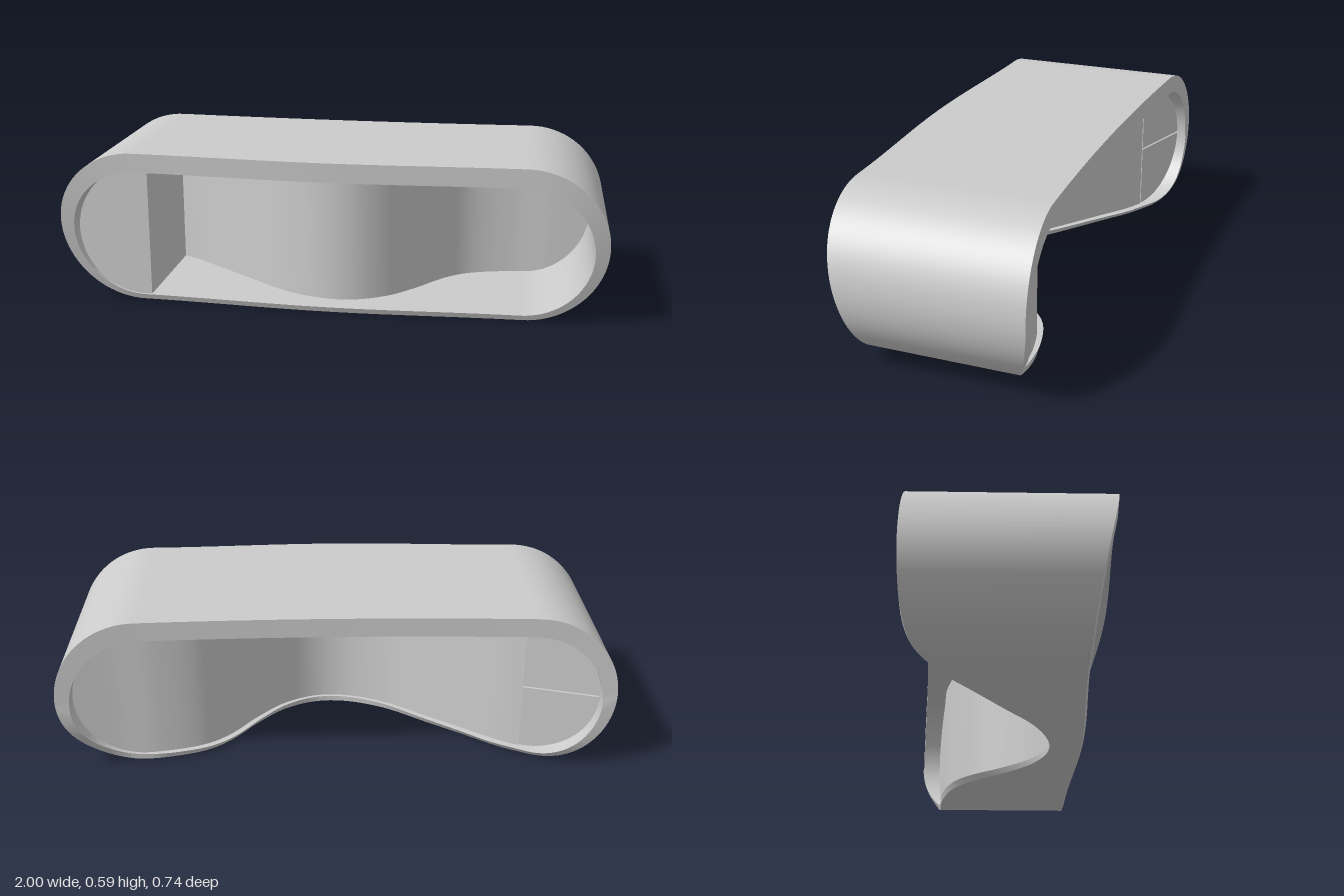
import * as THREE from 'three';

const material = new THREE.MeshStandardMaterial({ color: 0xcccccc, side: THREE.DoubleSide });
const curve = (pts, n) => new THREE.SplineCurve(pts.map(p => new THREE.Vector2(...p))).getPoints(n);

// plan curve (x, z) of the S-shaped inner wall
const wallPoints = [[-0.68, -0.235], [-0.6, -0.19], [-0.5, -0.115], [-0.35, -0.005], [-0.2, 0.105], [-0.05, 0.165],
  [0.08, 0.165], [0.2, 0.105], [0.3, 0], [0.4, -0.13], [0.5, -0.205], [0.65, -0.248]];
const wallLine = curve([...wallPoints, [0.8, -0.262], [0.955, -0.285]], 120);

// plan curve (x, z) of the lower back edge, just behind the inner wall
const lowEdge = curve([[-1, -0.37], [-0.9, -0.355], [-0.8, -0.322], ...wallPoints.map(([x, z]) => [x, z - 0.026]),
  [0.8, -0.285], [0.9, -0.31], [1, -0.37]], 300);

function lowZ(x) {
  const i = lowEdge.findIndex(p => p.x >= x);
  if (i < 1) return -0.37;
  const a = lowEdge[i - 1], b = lowEdge[i];
  return a.y + (b.y - a.y) * (x - a.x) / (b.x - a.x);
}

// front edge leans forward in a slight S and bows out in the middle
function frontZ(x, y) {
  const lean = (y / 0.59 + THREE.MathUtils.smoothstep(y, 0, 0.59)) / 2;
  const bow = Math.sin(Math.min(1, Math.abs(x) / 0.75) * Math.PI / 2) ** 2;
  return 0.265 + 0.105 * lean - 0.028 * bow;
}
// back edge differs above and below mid height
const backZ = (x, y, s) => y < s.cy - 1e-6 ? lowZ(x / (s.cx + s.r)) : -0.33 - 0.04 * x * x;

const OUTER = { cx: 0.705, cy: 0.295, r: 0.295, lip: 0 };
const INNER = { cx: 0.7, cy: 0.27, r: 0.25, lip: 0.006 };

// stadium outline, counter-clockwise seen from the front
function stadium({ cx, cy, r }) {
  const pts = [], flat = 80, arc = 40;
  for (let i = 0; i < flat; i++) pts.push([-cx + 2 * cx * i / flat, cy - r]);
  for (let i = 0; i < arc; i++) {
    const a = -Math.PI / 2 + Math.PI * i / arc;
    pts.push([cx + r * Math.cos(a), cy + r * Math.sin(a)]);
  }
  return pts.concat(pts.map(([x, y]) => [-x, 2 * cy - y]));
}

// smooth band of quads between two rows of points
function strip(a, b, closed) {
  const n = a.length, index = [];
  for (let i = 0; i < (closed ? n : n - 1); i++) {
    const j = (i + 1) % n;
    index.push(i, n + i, n + j, i, n + j, j);
  }
  const g = new THREE.BufferGeometry();
  g.setAttribute('position', new THREE.Float32BufferAttribute([...a, ...b].flat(), 3));
  g.setIndex(index);
  g.computeVertexNormals();
  return g;
}

// end slice of the inner outline from z0 to z1, its back slanting out towards the rim
function endBlock(y0, y1, r, x0, z0, z1) {
  const s = new THREE.Shape(), n = 24;
  s.moveTo(x0, y0);
  s.lineTo(x0, y1);
  for (let i = 0; i <= n; i++) {
    const y = y1 + (y0 - y1) * (1 - Math.cos(Math.PI * i / n)) / 2;
    s.lineTo(-INNER.cx - Math.sqrt(Math.max(0, r * r - (y - INNER.cy) ** 2)), y);
  }
  const g = new THREE.ExtrudeGeometry(s, { depth: z1 - z0, bevelEnabled: false }).translate(0, 0, z0);
  const p = g.attributes.position;
  for (let i = 0; i < p.count; i++) {
    if (p.getZ(i) < 0) p.setZ(i, p.getZ(i) + 0.31 * (p.getX(i) + 0.68));
  }
  g.computeVertexNormals();
  return g;
}

export function createModel() {
  const model = new THREE.Group();
  const add = (name, geometry, parent = model) => {
    const mesh = new THREE.Mesh(geometry, material);
    mesh.name = name;
    parent.add(mesh);
  };

  // stadium shell with front and back rims
  const shell = new THREE.Group();
  shell.name = 'shell';
  model.add(shell);
  const edges = s => {
    const pts = stadium(s);
    return [pts.map(([x, y]) => [x, y, frontZ(x, y) + s.lip]), pts.map(([x, y]) => [x, y, backZ(x, y, s)])];
  };
  const [outFront, outBack] = edges(OUTER), [inFront, inBack] = edges(INNER);
  add('outerSkin', strip(outFront, outBack, true), shell);
  add('backRim', strip(outBack, inBack, true), shell);
  add('innerSkin', strip(inBack, inFront, true), shell);
  add('frontRim', strip(inFront, outFront, true), shell);

  // S-shaped wall standing inside the shell
  const wall = new THREE.Group();
  wall.name = 'curvedWall';
  model.add(wall);
  const row = (side, dz) => wallLine.map(({ x, y: z }) => {
    const d = Math.max(0, Math.abs(x) - INNER.cx);
    const h = Math.sqrt(Math.max(0, 0.255 ** 2 - d * d));
    return [x, INNER.cy + side * h, z + dz];
  });
  add('wallFront', strip(row(1, 0.013), row(-1, 0.013)), wall);
  add('wallBack', strip(row(-1, -0.013), row(1, -0.013)), wall);

  // closed compartment in the right end
  add('compartment', endBlock(0.016, 0.524, 0.254, -0.68, -0.24, 0.236));

  // two covers at the back of the compartment, with a narrow gap between them
  add('lowerCover', endBlock(0.024, 0.268, 0.246, -0.682, -0.25, -0.238));
  add('upperCover', endBlock(0.276, 0.516, 0.246, -0.682, -0.25, -0.238));
  return model;
}
